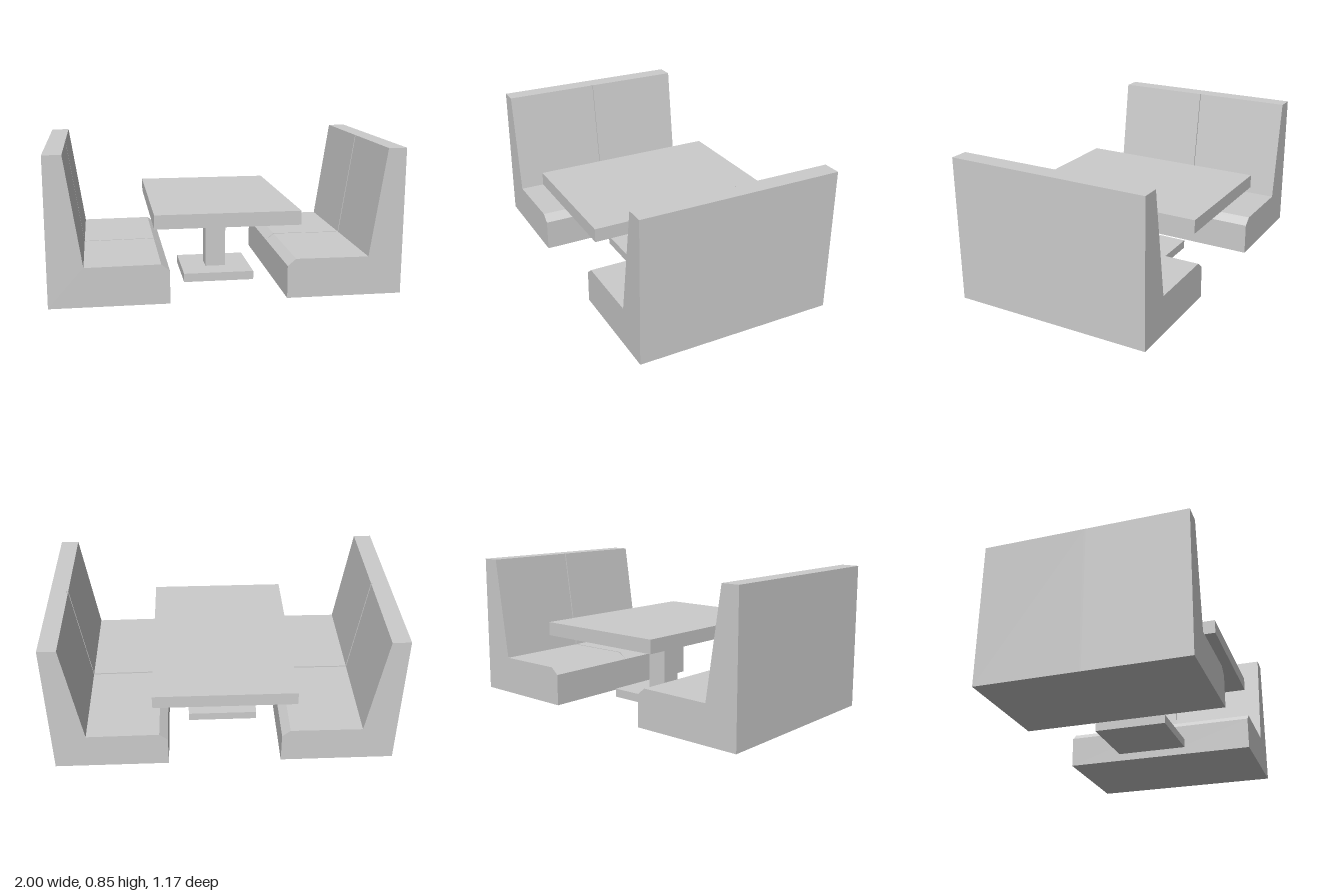
import * as THREE from 'three';

const material = new THREE.MeshStandardMaterial({ color: 0xcccccc, flatShading: true });

// Side profile of a bench, extruded along z between z0 and z1
function slab(name, points, z0, z1) {
  const shape = new THREE.Shape(points.map(([x, y]) => new THREE.Vector2(x, y)));
  const geometry = new THREE.ExtrudeGeometry(shape, { depth: z1 - z0, bevelEnabled: false });
  geometry.translate(0, 0, z0);
  const mesh = new THREE.Mesh(geometry, material);
  mesh.name = name;
  return mesh;
}

function box(name, width, height, depth, bottom) {
  const mesh = new THREE.Mesh(new THREE.BoxGeometry(width, height, depth), material);
  mesh.name = name;
  mesh.position.set(-0.002, bottom + height / 2, -0.003);
  return mesh;
}

// Bench on the +x side: two padded halves with a shallow seam between them
function bench(name) {
  const group = new THREE.Group();
  group.name = name;
  const outer = [[0.332, 0], [1, 0], [1, 0.845], [0.895, 0.845], [0.802, 0.225], [0.38, 0.228], [0.332, 0.188]];
  const inset = [[0.332, 0], [1, 0], [1, 0.845], [0.904, 0.845], [0.81, 0.217], [0.38, 0.219], [0.332, 0.188]];
  const half = 0.587, seamBack = -0.011, seamFront = -0.001;
  group.add(
    slab('rearHalf', outer, -half, seamBack),
    slab('seam', inset, seamBack, seamFront),
    slab('frontHalf', outer, seamFront, half),
  );
  return group;
}

export function createModel() {
  const model = new THREE.Group();
  model.name = 'diningBooth';

  // Facing benches
  const left = bench('leftBench');
  const right = bench('rightBench');
  right.rotation.y = Math.PI;
  right.position.z = -0.012; // keeps both seams in line
  right.children.forEach((part) => { part.position.z = -0.012; });
  model.add(left, right);

  // Pedestal table
  model.add(
    box('tableTop', 0.824, 0.08, 1.14, 0.42),
    box('tablePost', 0.124, 0.37, 0.124, 0.052),
    box('tableBase', 0.424, 0.052, 0.424, 0),
  );
  return model;
}
